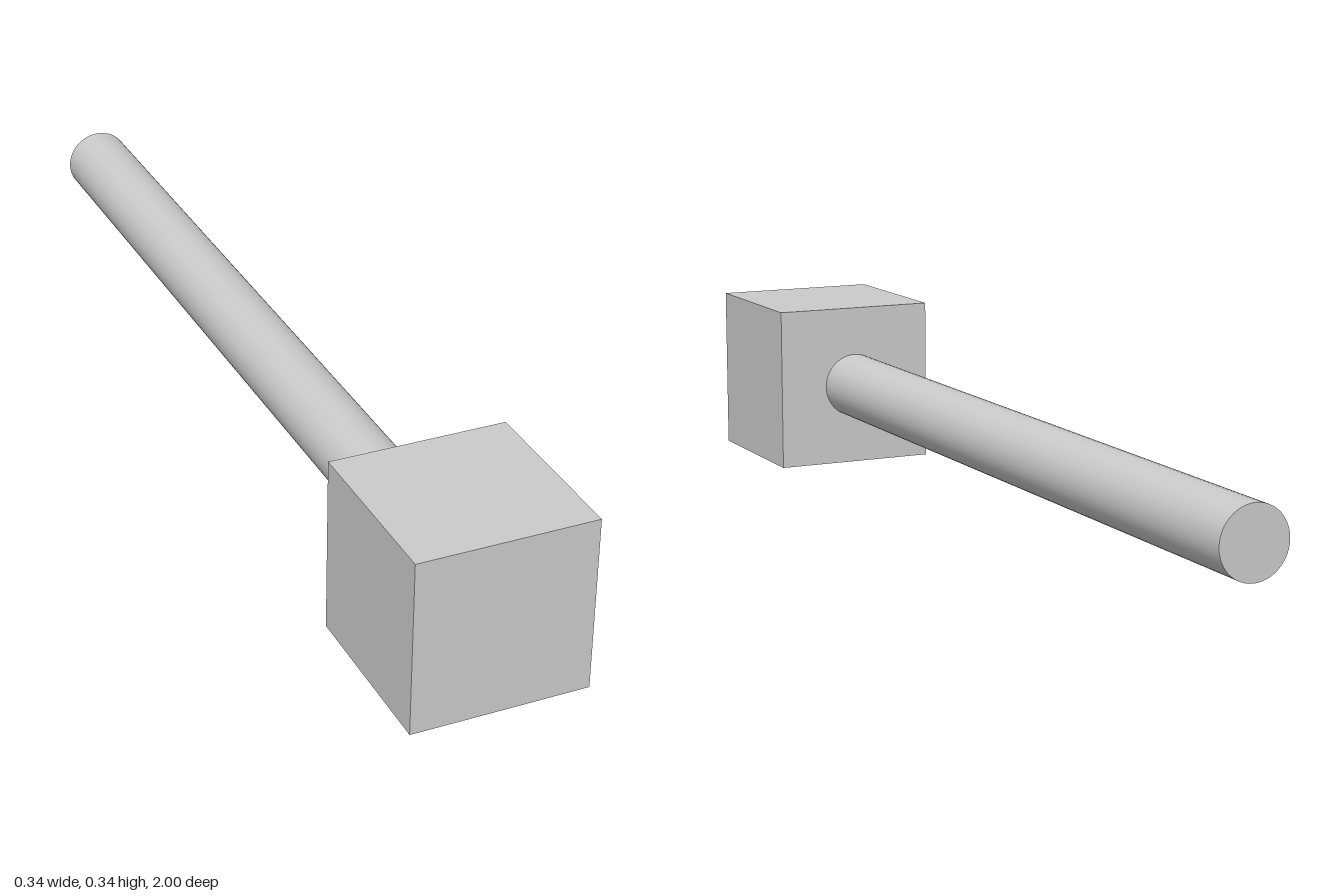
import * as THREE from 'three';

const HEAD = 0.342;        // cube side
const SHAFT_RADIUS = 0.068;

export function createModel() {
  const model = new THREE.Group();
  const material = new THREE.MeshStandardMaterial({ color: 0xcccccc });

  // Cubic head at the front
  const head = new THREE.Mesh(new THREE.BoxGeometry(HEAD, HEAD, HEAD), material);
  head.name = 'head';
  head.position.set(0, HEAD / 2, 1 - HEAD / 2);

  // Round shaft running from the head's back face to the rear
  const length = 2 - HEAD;
  const shaft = new THREE.Mesh(
    new THREE.CylinderGeometry(SHAFT_RADIUS, SHAFT_RADIUS, length, 48).rotateX(Math.PI / 2),
    material
  );
  shaft.name = 'shaft';
  shaft.position.set(0, HEAD / 2, -1 + length / 2);

  model.add(head, shaft);
  return model;
}
